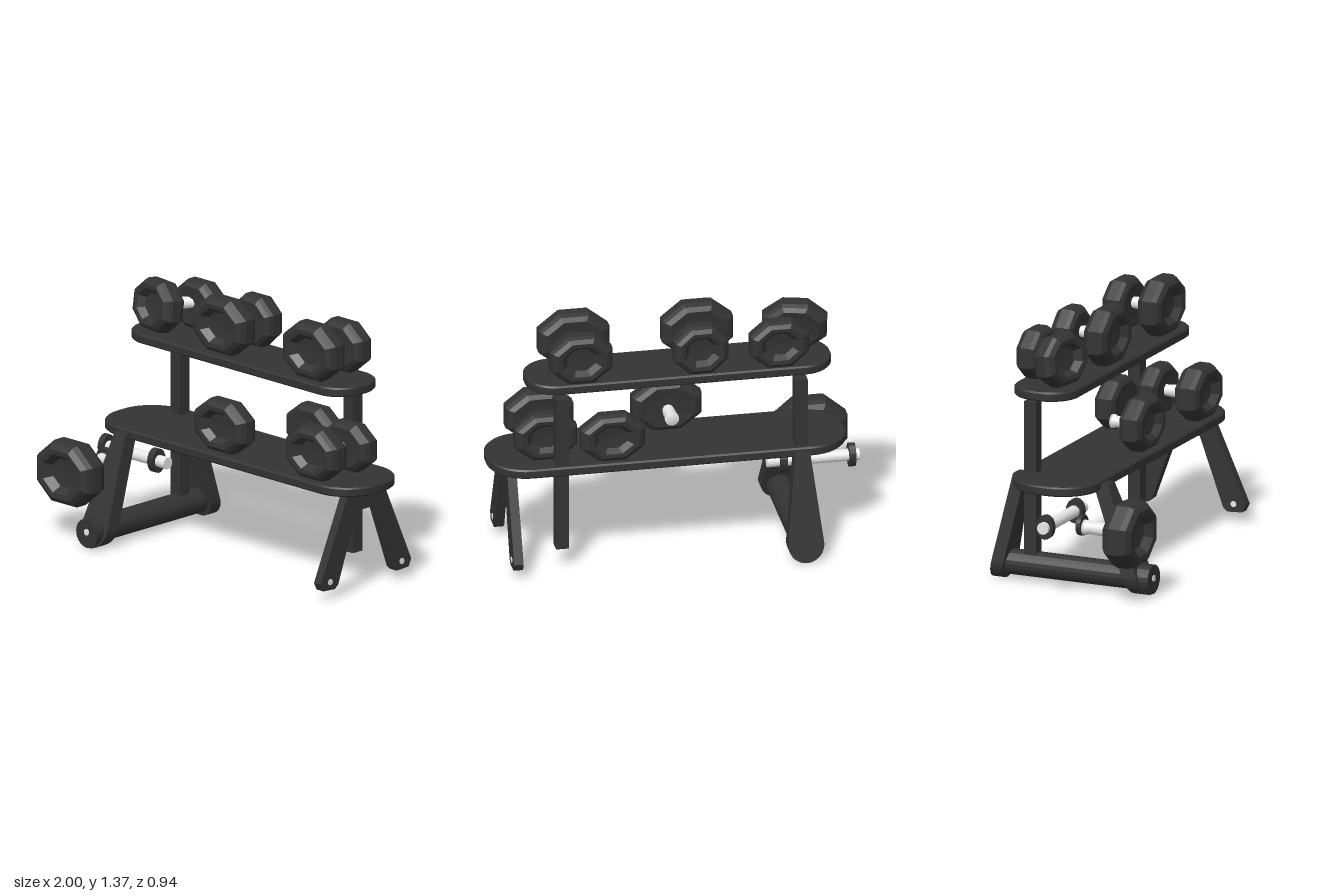
import * as THREE from 'three';

const dark = new THREE.MeshStandardMaterial({ color: 0x333333, flatShading: true });
dark.name = 'charcoal';
const light = new THREE.MeshStandardMaterial({ color: 0xeaeaea });
light.name = 'polishedSteel';

export function createModel() {
  const root = new THREE.Group();
  root.name = 'dumbbellRack';

  const add = (name, geo, mat, x = 0, y = 0, z = 0, parent = root) => {
    const m = new THREE.Mesh(geo, mat);
    m.name = name;
    m.position.set(x, y, z);
    parent.add(m);
    return m;
  };
  const rodZ = (r, len, seg = 20) => new THREE.CylinderGeometry(r, r, len, seg).rotateX(Math.PI / 2);
  const rodX = (r, len, seg = 20) => new THREE.CylinderGeometry(r, r, len, seg).rotateZ(Math.PI / 2);

  // Shelves: boards with rounded ends
  const shelf = (name, x0, x1, z0, z1, y0, y1, r) => {
    const b = 0.008, w = (x1 - x0) / 2 - b, d = (z1 - z0) / 2 - b;
    const s = new THREE.Shape();
    s.moveTo(-w + r, -d);
    s.lineTo(w - r, -d);
    s.absarc(w - r, -d + r, r, -Math.PI / 2, 0);
    s.absarc(w - r, d - r, r, 0, Math.PI / 2);
    s.absarc(-w + r, d - r, r, Math.PI / 2, Math.PI);
    s.absarc(-w + r, -d + r, r, Math.PI, Math.PI * 1.5);
    const g = new THREE.ExtrudeGeometry(s, {
      depth: y1 - y0 - 2 * b, bevelThickness: b, bevelSize: b, bevelSegments: 1, curveSegments: 8,
    });
    g.rotateX(-Math.PI / 2);
    add(name, g, dark, (x0 + x1) / 2, y0 + b, (z0 + z1) / 2);
  };
  shelf('lowerShelf', -0.9, 1.0, -0.31, 0.16, 0.54, 0.59, 0.2);
  shelf('upperShelf', -0.81, 0.81, -0.33, 0.025, 1.02, 1.07, 0.15);

  // Upright posts
  for (const x of [-0.635, 0.632])
    add('post', new THREE.BoxGeometry(0.068, 0.86, 0.07), dark, x, 0.54, -0.25);

  // Splayed leg frame at the left end of the shelf (+x)
  const v = new THREE.Shape();
  const half = [[0.13, 0.55], [0.335, 0.095], [0.315, 0.055], [0.23, 0.05], [0.205, 0.07], [0.07, 0.44]];
  const outline = [...half, ...half.map(([a, b]) => [-a, b]).reverse()];
  v.setFromPoints(outline.map(([a, b]) => new THREE.Vector2(a, b)));
  const vg = new THREE.ExtrudeGeometry(v, { depth: 0.05, bevelEnabled: false });
  vg.rotateY(Math.PI / 2);
  add('splayedLegs', vg, dark, 0.86, 0, -0.066);
  for (const s of [-1, 1])
    add('footBolt', rodX(0.017, 0.056, 10), light, 0.885, 0.095, -0.066 + s * 0.265);

  // Tapered legs with round feet at the other end, slanted by a shear
  const taperedLeg = (name, zTop, slope, depth) => {
    const s = new THREE.Shape();
    s.moveTo(0.04, 0.575);
    s.lineTo(-0.04, 0.575);
    s.lineTo(-0.095, 0.1);
    s.absarc(0, 0.095, 0.095, Math.PI, Math.PI * 2);
    s.lineTo(0.04, 0.575);
    const g = new THREE.ExtrudeGeometry(s, { depth, bevelEnabled: false, curveSegments: 8 });
    const p = g.attributes.position;
    for (let i = 0; i < p.count; i++) p.setZ(i, p.getZ(i) + zTop + slope * (0.575 - p.getY(i)));
    g.computeVertexNormals();
    add(name, g, dark, -0.63, 0, 0);
  };
  taperedLeg('frontTaperedLeg', 0.115, 0.4, 0.085);
  taperedLeg('backTaperedLeg', -0.347, -0.21, 0.07);

  // Floor tube joining the tapered legs
  add('floorTube', rodZ(0.068, 0.84), dark, -0.63, 0.088, 0);
  add('tubeCap', rodZ(0.078, 0.07), dark, -0.63, 0.083, 0.41);
  add('tubeBolt', rodZ(0.018, 0.012, 10), light, -0.63, 0.09, 0.443);

  // Cross bar with collars
  add('crossBar', rodX(0.032, 0.49), light, -0.745, 0.39, -0.025);
  for (const [x, w] of [[-0.95, 0.035], [-0.585, 0.04]]) {
    const c = add('collar', rodX(0.065, w, 16), dark, x, 0.39, -0.025);
    c.scale.z = 0.75;
  }

  // Octagonal weight: unit-sized, dished on its outer (+z) face
  const profile = [[0, -0.46], [0.5, -0.46], [0.78, -0.5], [0.93, -0.38], [1, -0.2], [1, 0.2],
    [0.93, 0.38], [0.78, 0.5], [0.62, 0.48], [0.45, 0.22], [0, 0.18]];
  const k = 0.5 / Math.cos(Math.PI / 8);
  const weightGeo = new THREE.LatheGeometry(
    profile.map(([r, t]) => new THREE.Vector2(r * k, t)), 8, Math.PI / 8).rotateX(Math.PI / 2);
  const weight = (parent, x, y, z, w, h, d, facing = 1, yaw = 0) => {
    const m = add('weight', weightGeo, dark, x, y, z, parent);
    m.scale.set(w, h, d);
    m.rotation.y = yaw + (facing < 0 ? Math.PI : 0);
    return m;
  };

  // Handle between two points, swelling in the middle
  const handle = (parent, a, b, r = 0.034) => {
    const A = new THREE.Vector3(...a), B = new THREE.Vector3(...b);
    const len = A.distanceTo(B);
    const pts = [[0, -0.5], [1.1, -0.5], [1.1, -0.4], [0.88, -0.3], [1, 0], [0.88, 0.3], [1.1, 0.4], [1.1, 0.5], [0, 0.5]]
      .map(([q, t]) => new THREE.Vector2(q * r, t * len));
    const m = add('handle', new THREE.LatheGeometry(pts, 20), light, 0, 0, 0, parent);
    m.position.copy(A).add(B).multiplyScalar(0.5);
    m.quaternion.setFromUnitVectors(new THREE.Vector3(0, 1, 0), B.sub(A).normalize());
  };
  const dumbbell = (name) => {
    const g = new THREE.Group();
    g.name = name;
    root.add(g);
    return g;
  };

  // Upper shelf dumbbells
  let d = dumbbell('upperMiddleDumbbell');
  weight(d, -0.122, 1.22, -0.06, 0.375, 0.3, 0.135);
  weight(d, -0.1, 1.205, -0.28, 0.29, 0.27, 0.125, -1);
  handle(d, [-0.1, 1.215, -0.08], [-0.1, 1.215, -0.26]);

  d = dumbbell('upperEndDumbbell');
  weight(d, 0.533, 1.22, -0.06, 0.375, 0.3, 0.135);
  weight(d, 0.535, 1.205, -0.28, 0.33, 0.27, 0.125, -1);
  handle(d, [0.533, 1.215, -0.08], [0.533, 1.215, -0.26]);

  d = dumbbell('upperAngledDumbbell');
  const tilted = weight(d, -0.635, 1.21, -0.09, 0.34, 0.27, 0.13, 1, -0.2);
  tilted.rotation.x = -0.15;
  weight(d, -0.515, 1.2, -0.28, 0.31, 0.26, 0.125, -1);
  handle(d, [-0.62, 1.215, -0.11], [-0.52, 1.215, -0.26]);

  // Lower shelf dumbbells
  d = dumbbell('lowerEndDumbbell');
  weight(d, 0.69, 0.73, 0.08, 0.36, 0.28, 0.14);
  weight(d, 0.7, 0.717, -0.16, 0.33, 0.26, 0.115, -1);
  handle(d, [0.69, 0.717, 0.05], [0.69, 0.717, -0.14]);

  d = dumbbell('lowerMiddleDumbbell');
  weight(d, 0.015, 0.73, 0.075, 0.37, 0.28, 0.13);
  handle(d, [0.015, 0.717, 0.05], [0.015, 0.717, -0.1]);

  d = dumbbell('lowerBackWeight');
  weight(d, 0.36, 0.72, -0.24, 0.34, 0.26, 0.12, -1);

  // Dumbbell hung out in front of the tapered legs
  d = dumbbell('hangingDumbbell');
  weight(d, -0.805, 0.367, 0.39, 0.395, 0.335, 0.165);
  handle(d, [-0.815, 0.375, 0.34], [-0.815, 0.375, 0.13], 0.036);
  add('handleEndDisc', rodZ(0.055, 0.025, 16), dark, -0.815, 0.385, 0.12, d);

  return root;
}
